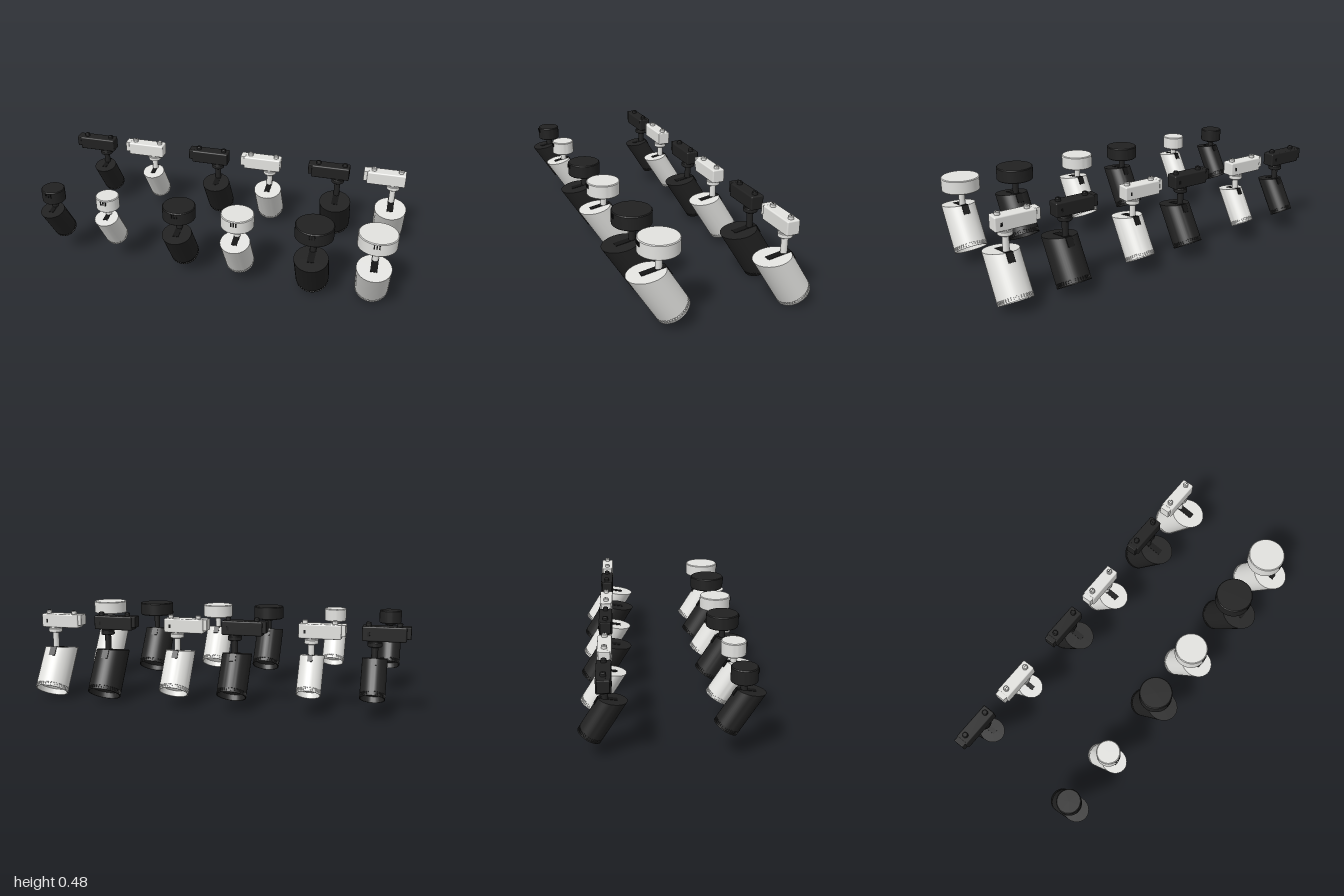
import * as THREE from 'three';
import { toCreasedNormals } from 'three/addons/utils/BufferGeometryUtils.js';
import { RoundedBoxGeometry } from 'three/addons/geometries/RoundedBoxGeometry.js';

const TILT = THREE.MathUtils.degToRad(32); // lean of the lamp heads
const CUT = 0.42;                          // slope of the slanted head top

const material = (name, color) => {
  const m = new THREE.MeshStandardMaterial({ color });
  m.name = name;
  return m;
};

function add(parent, name, geometry, mat, x = 0, y = 0, z = 0) {
  const mesh = new THREE.Mesh(geometry, mat);
  mesh.name = name;
  mesh.position.set(x, y, z);
  parent.add(mesh);
  return mesh;
}

const lathe = (points, segments = 48) =>
  new THREE.LatheGeometry(points.map(([x, y]) => new THREE.Vector2(x, y)), segments);

// Upright turned disc with softened top and bottom edges
function disc(r, y0, y1, bevel, segments = 40) {
  return toCreasedNormals(lathe([
    [0, y0], [r - bevel, y0], [r, y0 + bevel], [r, y1 - bevel], [r - bevel, y1], [0, y1],
  ], segments), 0.6);
}

// Hollow lamp head; its mouth is at y = 0 and its axis is y
function createHead({ r, length }, body, mats) {
  const head = new THREE.Group();
  head.name = 'lampHead';

  // Funnel, rim, grooved band, wall and slanted top in one profile
  const shell = lathe([
    [0.5 * r, 0.6 * r], [0.88 * r, 0.03], [0.93 * r, 0], [r, 0], [r, 0.006],
    [0.95 * r, 0.006], [0.95 * r, 0.022], [r, 0.022], [r, 1], [0, 1],
  ]);
  const p = shell.attributes.position;
  for (let i = 0; i < p.count; i++) {
    if (p.getY(i) > 0.99) p.setY(i, length - CUT * (r - p.getZ(i)));
  }
  add(head, 'headShell', toCreasedNormals(shell, 0.5), body);

  // Cooling ribs around the mouth
  const ribs = 40;
  const rib = new THREE.BoxGeometry(0.05 * r, 0.016, r * 0.06);
  for (let i = 0; i < ribs; i++) {
    const a = (i / ribs) * Math.PI * 2;
    const mesh = add(head, 'coolingRib', rib, body, Math.sin(a) * r * 0.968, 0.014, Math.cos(a) * r * 0.968);
    mesh.rotation.y = a;
  }

  // Reflector and lens
  add(head, 'reflector', lathe([[0.32 * r, 0.75 * r], [0.5 * r, 0.6 * r]]), mats.reflector);
  const lens = add(head, 'lens', new THREE.CircleGeometry(0.33 * r, 32), mats.lens, 0, 0.745 * r, 0);
  lens.rotation.x = Math.PI / 2;

  // Pivot slot over the top and down the back
  const w = 0.4 * r;
  const midZ = -0.35 * r;
  const slot = add(head, 'topSlot', new THREE.BoxGeometry(w, 0.004, 1.3 * r * Math.hypot(1, CUT)),
    mats.slot, 0, length - CUT * (r - midZ), midZ);
  slot.rotation.x = -Math.atan(CUT);
  const drop = 0.55 * r;
  add(head, 'backSlot', new THREE.BoxGeometry(w, drop, 0.006), mats.slot,
    0, length - 2 * CUT * r - drop / 2, -r + 0.0005);
  return head;
}

// Place a head by the lowest point of its rim
function placeHead(lamp, size, body, mats, rimY, rimZ) {
  const head = createHead(size, body, mats);
  head.rotation.x = TILT;
  head.position.set(0, rimY + size.r * Math.sin(TILT), rimZ - size.r * Math.cos(TILT));
  lamp.add(head);
}

// Lamp on a round ceiling canopy
function createCanopyLamp(size, body, mats) {
  const lamp = new THREE.Group();
  lamp.name = 'canopyLamp';
  const z = 0.312;
  add(lamp, 'canopy', disc(size.canopy, 0.395, 0.468, 0.004, 56), body, 0, 0, z);
  add(lamp, 'collar', disc(0.03, 0.384, 0.396, 0.002), body, 0, 0, z);
  add(lamp, 'stem', new THREE.CylinderGeometry(0.0165, 0.0165, 0.12, 28), body, 0, 0.328, z);
  for (const x of [-0.013, 0, 0.013]) {
    add(lamp, 'selectorSlot', new THREE.BoxGeometry(0.006, 0.022, 0.006), mats.slot, x, 0.45, z + size.canopy - 0.001);
  }
  placeHead(lamp, size, body, mats, size.rimY, size.rimZ);
  return lamp;
}

// Lamp on a track adapter
function createTrackLamp(size, body, mats) {
  const lamp = new THREE.Group();
  lamp.name = 'trackLamp';
  const z = -0.315;
  add(lamp, 'adapterBox', new RoundedBoxGeometry(0.214, 0.074, 0.07, 2, 0.007), body, -0.044, 0.432, z);
  add(lamp, 'adapterEnd', new RoundedBoxGeometry(0.03, 0.06, 0.058, 2, 0.004), body, -0.157, 0.44, z);
  for (const x of [-0.116, 0.034]) {
    add(lamp, 'lockKnob', disc(0.014, 0.464, 0.486, 0.003, 24), body, x, 0, z);
    add(lamp, 'knobSlot', new THREE.BoxGeometry(0.016, 0.002, 0.003), mats.slot, x, 0.486, z);
  }
  add(lamp, 'latchHole', new THREE.BoxGeometry(0.01, 0.018, 0.004), mats.slot, 0.03, 0.43, z - 0.0345);
  add(lamp, 'neck', new THREE.CylinderGeometry(0.03, 0.03, 0.012, 32), body, 0, 0.392, z);
  add(lamp, 'collar', disc(0.036, 0.365, 0.389, 0.003), body, 0, 0, z);
  add(lamp, 'stem', new THREE.CylinderGeometry(0.0165, 0.0165, 0.11, 28), body, 0, 0.315, z);
  placeHead(lamp, size, body, mats, size.rimY - size.trackDrop, size.rimZ - 0.625);
  return lamp;
}

export function createModel() {
  const model = new THREE.Group();
  model.name = 'spotlightSet';
  const white = material('white', 0xe2e2df);
  const black = material('black', 0x212121);
  const mats = {
    slot: material('slotBlack', 0x141414),
    reflector: material('reflectorSilver', 0xd6d6d4),
    lens: material('lensGrey', 0x9a9a98),
  };

  // Small, medium and large; x is the black canopy lamp of each pair
  const sizes = [
    { x: -0.875, r: 0.0625, length: 0.241, canopy: 0.062, rimY: 0.133, rimZ: 0.287, trackDrop: 0.048 },
    { x: -0.163, r: 0.078, length: 0.271, canopy: 0.087, rimY: 0.08, rimZ: 0.302, trackDrop: 0.037 },
    { x: 0.549, r: 0.0885, length: 0.295, canopy: 0.1, rimY: 0.0325, rimZ: 0.311, trackDrop: 0.0285 },
  ];
  for (const size of sizes) {
    [black, white].forEach((body, i) => {
      const x = size.x + i * 0.314;
      const canopyLamp = createCanopyLamp(size, body, mats);
      canopyLamp.position.x = x;
      const trackLamp = createTrackLamp(size, body, mats);
      trackLamp.position.x = x + 0.046;
      model.add(canopyLamp, trackLamp);
    });
  }
  return model;
}
